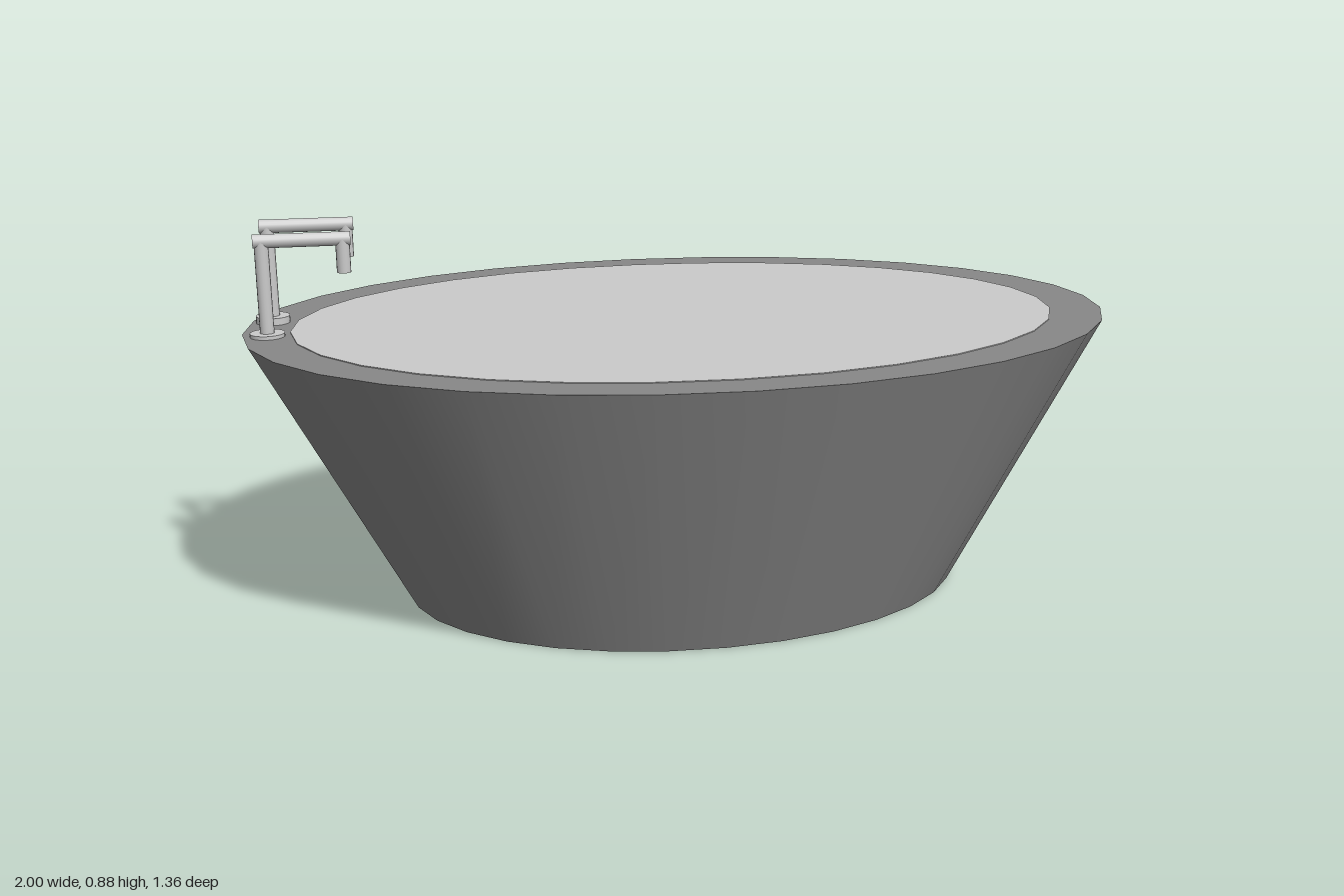
import * as THREE from 'three';

const RIM_Y = 0.645;
const SIDES = 32;

function cylinder(name, rTop, rBottom, height, sides, material) {
  const mesh = new THREE.Mesh(new THREE.CylinderGeometry(rTop, rBottom, height, sides), material);
  mesh.name = name;
  return mesh;
}

// Tap standing on the rim: flange, upright, arm reaching over the water, short spout
function makeTap(name, x, z, flangeHeight, top, material) {
  const tap = new THREE.Group();
  tap.name = name;
  const r = 0.0155;
  const armY = top - r - RIM_Y;
  const reach = 0.173;

  const flange = cylinder('flange', 0.038, 0.038, flangeHeight, 24, material);
  flange.position.y = flangeHeight / 2;

  const upright = cylinder('upright', r, r, armY, 16, material);
  upright.position.y = armY / 2;

  const arm = cylinder('arm', r, r, reach + 0.035, 16, material);
  arm.rotation.z = -Math.PI / 2;
  arm.position.set(reach / 2, armY, 0);

  const spoutLength = 0.075;
  const spout = cylinder('spout', r, r, spoutLength, 16, material);
  spout.position.set(reach, armY - spoutLength / 2, 0);

  tap.add(flange, upright, arm, spout);
  tap.position.set(x, RIM_Y, z);
  return tap;
}

export function createModel() {
  const model = new THREE.Group();
  model.name = 'bathtub';
  const grey = new THREE.MeshStandardMaterial({ color: 0xcccccc });
  const dark = new THREE.MeshStandardMaterial({ color: 0x888888 });

  // Tapered oval body
  const body = cylinder('body', 1, 0.66, RIM_Y, SIDES, dark);
  body.geometry.scale(1, 1, 0.68);
  body.position.y = RIM_Y / 2;

  // Water surface, a hair above the rim
  const water = cylinder('water', 1, 1, 0.004, SIDES, grey);
  water.geometry.scale(0.886, 1, 0.594);
  water.position.set(-0.01, RIM_Y, 0);

  model.add(
    body,
    water,
    makeTap('frontTap', -0.944, 0.025, 0.008, 0.872, grey),
    makeTap('backTap', -0.936, -0.113, 0.016, 0.881, grey)
  );
  return model;
}
